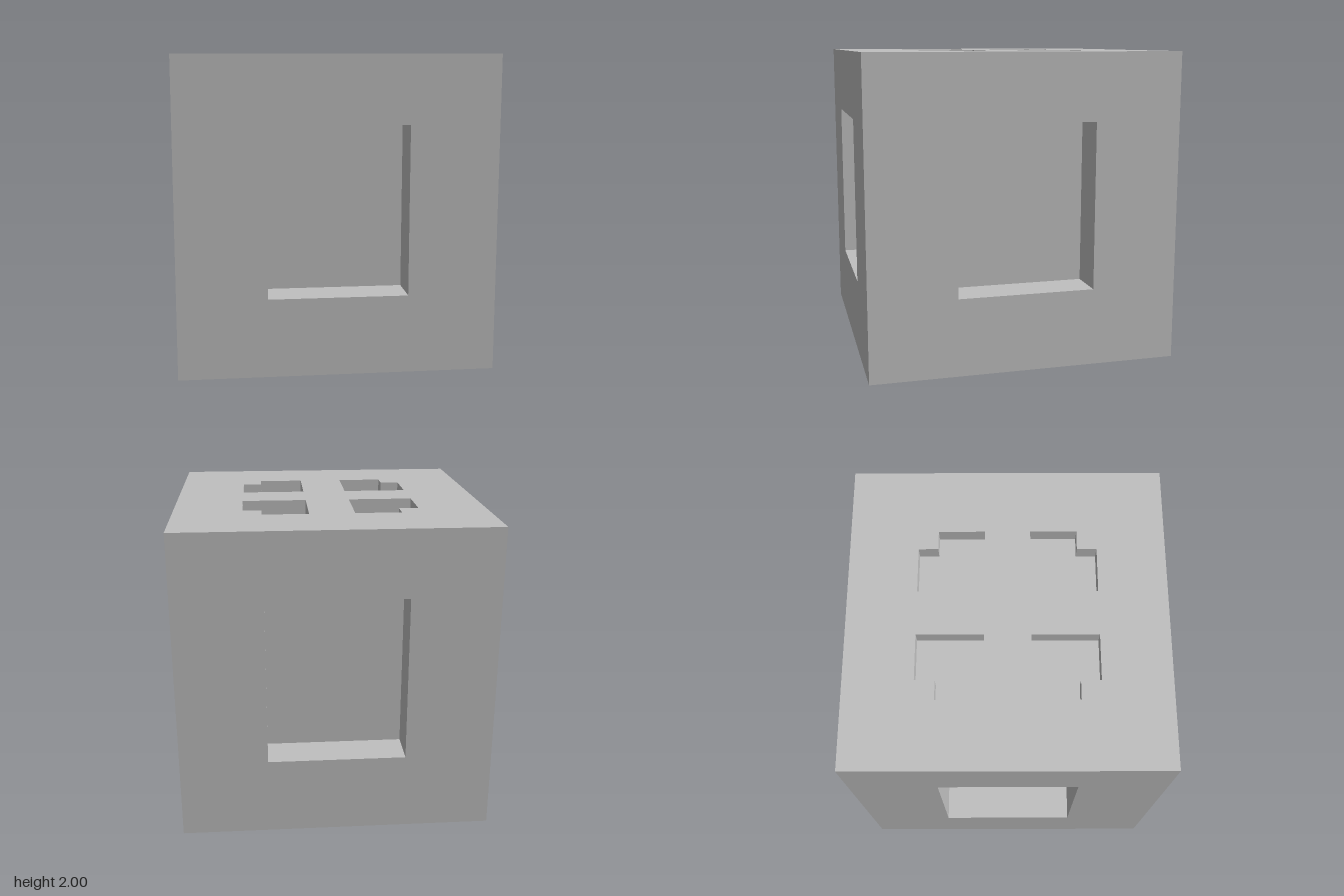
import * as THREE from 'three';

const shell = new THREE.MeshStandardMaterial({ color: 0xc0c0c0 });
shell.name = 'light grey';

// Points run counter-clockwise in the plane of the face
const toPoints = (list) => list.map(([x, y]) => new THREE.Vector2(x, y));
const square = toPoints([[-1, -1], [1, -1], [1, 1], [-1, 1]]);

// Inward-facing walls of a pocket that sinks to z = -depth
function pocketWalls(points, depth) {
  const pos = [];
  points.forEach((p, i) => {
    const q = points[(i + 1) % points.length];
    pos.push(p.x, p.y, 0, q.x, q.y, 0, q.x, q.y, -depth);
    pos.push(p.x, p.y, 0, q.x, q.y, -depth, p.x, p.y, -depth);
  });
  const geometry = new THREE.BufferGeometry();
  geometry.setAttribute('position', new THREE.Float32BufferAttribute(pos, 3));
  geometry.computeVertexNormals();
  return geometry;
}

// One cube face at z = 1 with sunken pockets
function carvedFace(name, pockets, depth) {
  const group = new THREE.Group();
  group.name = name;
  const add = (part, geometry, z) => {
    const mesh = new THREE.Mesh(geometry, shell);
    mesh.name = part;
    mesh.position.z = z;
    group.add(mesh);
  };
  const face = new THREE.Shape(square);
  pockets.forEach((points) => {
    face.holes.push(new THREE.Path(points));
    add('pocketWalls', pocketWalls(points, depth), 1);
    add('pocketFloor', new THREE.ShapeGeometry(new THREE.Shape(points)), 1 - depth);
  });
  add('faceSurface', new THREE.ShapeGeometry(face), 1);
  return group;
}

export function createModel() {
  const model = new THREE.Group();
  model.name = 'carvedCube';
  const cube = new THREE.Group();
  cube.name = 'cube';
  cube.position.y = 1;
  model.add(cube);

  // Four sides, each with one tall recess
  const recess = toPoints([[-0.44, -0.5], [0.44, -0.5], [0.44, 0.57], [-0.44, 0.57]]);
  ['frontSide', 'leftSide', 'backSide', 'rightSide'].forEach((name, i) => {
    const side = carvedFace(name, [recess], 0.25);
    side.rotation.y = i * Math.PI / 2;
    cube.add(side);
  });

  // Top with four pockets, each notched at its outer corner
  const inner = 0.145, notch = 0.44, outer = 0.565;
  const corner = toPoints([
    [inner, inner], [outer, inner], [outer, notch],
    [notch, notch], [notch, outer], [inner, outer],
  ]);
  const origin = new THREE.Vector2();
  const pockets = [0, 1, 2, 3].map((i) =>
    corner.map((p) => p.clone().rotateAround(origin, i * Math.PI / 2)));
  const top = carvedFace('top', pockets, 0.1);
  top.rotation.x = -Math.PI / 2;
  cube.add(top);

  // Plain underside
  const bottom = carvedFace('bottom', [], 0);
  bottom.rotation.x = Math.PI / 2;
  cube.add(bottom);

  return model;
}
